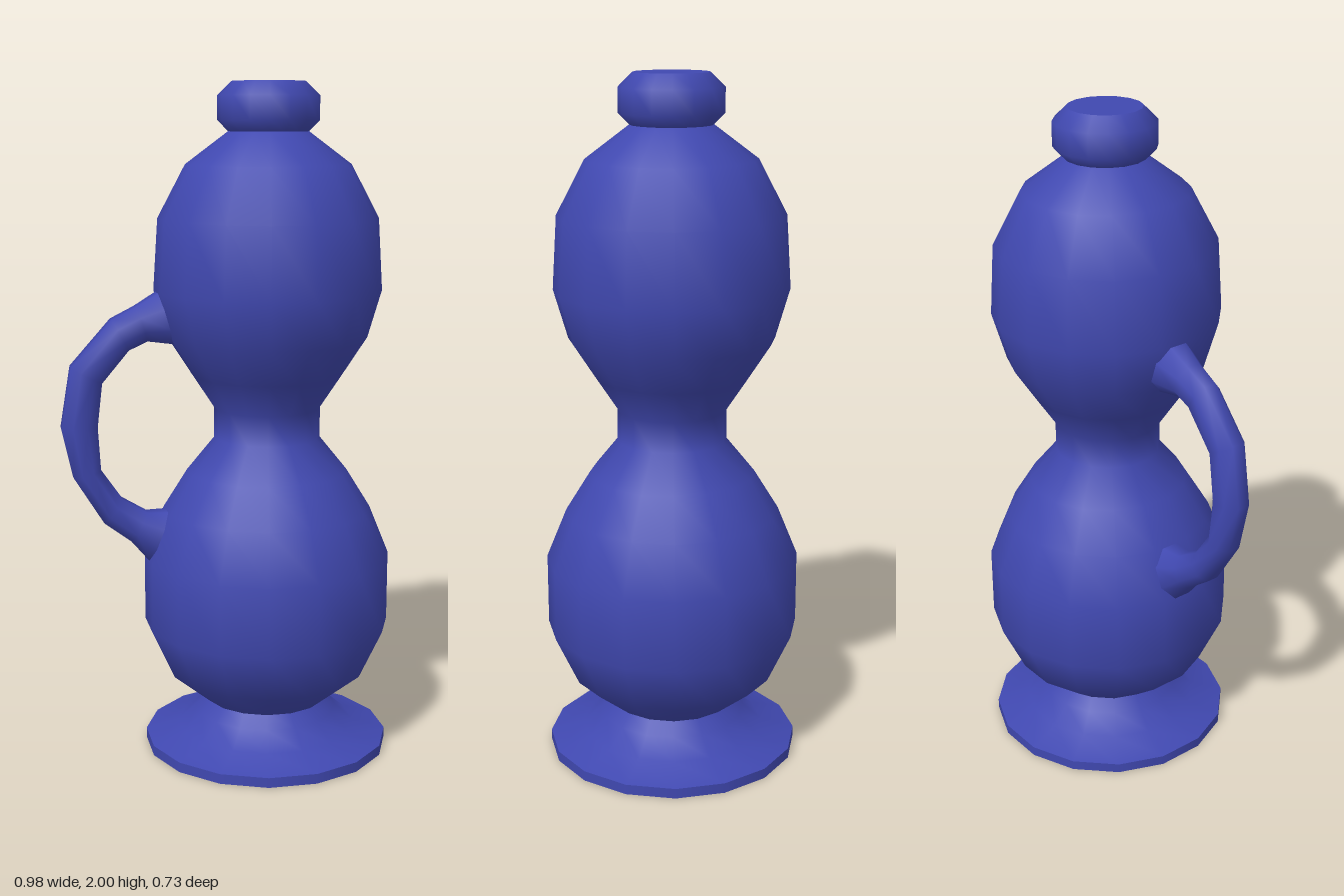
import * as THREE from 'three';

const SIDES = 16;
const AXIS_X = 0.125;
const material = new THREE.MeshStandardMaterial({ color: 0x4048b0 });

// Turned part; radii are measured across the flats of the 16-gon.
function turned(profiles, name) {
  const group = new THREE.Group();
  group.name = name;
  const k = 1 / Math.cos(Math.PI / SIDES);
  profiles.forEach((profile, i) => {
    const points = profile.map(([r, y]) => new THREE.Vector2(r * k, y));
    const mesh = new THREE.Mesh(new THREE.LatheGeometry(points, SIDES, Math.PI / SIDES), material);
    mesh.name = `${name}Surface${i + 1}`;
    group.add(mesh);
  });
  group.position.x = AXIS_X;
  return group;
}

// Loft of octagonal sections, each given by its outer and inner point and half width.
function loft(sections, sides = 8) {
  const positions = [], index = [];
  const k = 1 / Math.cos(Math.PI / sides);
  sections.forEach(([ox, oy, ix, iy, w], i) => {
    for (let j = 0; j < sides; j++) {
      const a = ((j + 0.5) / sides) * Math.PI * 2;
      const c = (Math.cos(a) * k) / 2;
      positions.push(
        (ox + ix) / 2 + (ox - ix) * c,
        (oy + iy) / 2 + (oy - iy) * c,
        -0.006 + Math.sin(a) * k * w
      );
      if (i === sections.length - 1) continue;
      const p = i * sides + j, q = i * sides + ((j + 1) % sides);
      index.push(p, p + sides, q, q, p + sides, q + sides);
    }
  });
  const geometry = new THREE.BufferGeometry();
  geometry.setAttribute('position', new THREE.Float32BufferAttribute(positions, 3));
  geometry.setIndex(index);
  geometry.computeVertexNormals();
  return geometry;
}

export function createModel() {
  const model = new THREE.Group();
  model.name = 'gourdJug';

  // Flared foot: underside, rim and concave slope, creased between them
  model.add(turned([
    [[0, 0], [0.363, 0]],
    [[0.363, 0], [0.363, 0.03]],
    [[0.363, 0.03], [0.265, 0.06], [0.21, 0.11], [0.18, 0.15]],
  ], 'foot'));

  // Double gourd body with a narrow waist
  model.add(turned([[
    [0.18, 0.145], [0.295, 0.24], [0.363, 0.39], [0.363, 0.6], [0.305, 0.745],
    [0.235, 0.86], [0.155, 0.96], [0.155, 1.05], [0.22, 1.15], [0.29, 1.26],
    [0.33, 1.4], [0.317, 1.61], [0.237, 1.765], [0.113, 1.86],
  ]], 'body'));

  // Stopper with flat top
  model.add(turned([
    [[0.113, 1.857], [0.145, 1.89], [0.145, 1.96], [0.105, 2]],
    [[0.105, 2], [0, 2]],
  ], 'stopper'));

  // Handle from the upper bulb to the lower one, widening at both roots
  const handle = new THREE.Mesh(loft([
    [-0.1, 1.42, -0.1, 1.22, 0.075],
    [-0.195, 1.405, -0.155, 1.25, 0.068],
    [-0.27, 1.36, -0.235, 1.26, 0.05],
    [-0.34, 1.325, -0.29, 1.235, 0.047],
    [-0.46, 1.19, -0.37, 1.14, 0.047],
    [-0.49, 1.01, -0.385, 1.01, 0.047],
    [-0.457, 0.86, -0.377, 0.88, 0.047],
    [-0.37, 0.72, -0.315, 0.79, 0.047],
    [-0.29, 0.66, -0.24, 0.745, 0.05],
    [-0.23, 0.59, -0.175, 0.745, 0.068],
    [-0.1, 0.58, -0.1, 0.75, 0.075],
  ]), material);
  handle.name = 'handle';
  model.add(handle);

  return model;
}
